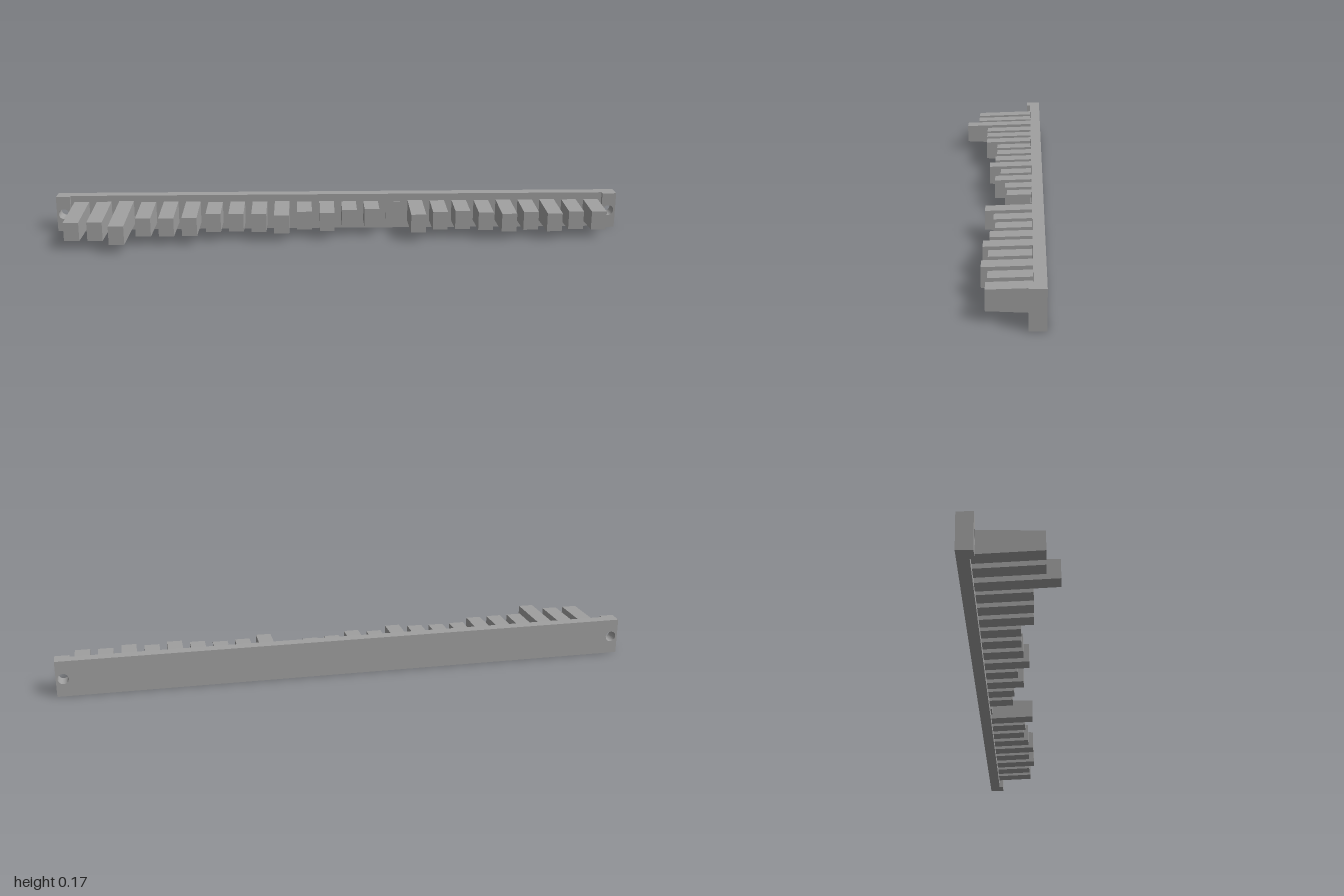
import * as THREE from 'three';

const LENGTH = 2.606, HEIGHT = 0.165, END_W = 0.064, END_D = 0.068, BAR_D = 0.05;
const TOOTH_W = 0.068, TOOTH_START = 0.081, PITCH = 0.1033;

// Reach of each tooth from the back of the bar, left to right
const REACH = [
  0.33, 0.33, 0.386, 0.278, 0.277, 0.275, 0.22, 0.218, 0.224, 0.248, 0.194, 0.218,
  0.171, 0.161, 0.056, 0.251, 0.212, 0.203, 0.223, 0.247, 0.223, 0.247, 0.22, 0.225,
];

// Box whose height narrows slightly towards the tip
function toothGeometry(reach) {
  const z0 = BAR_D - 0.01, depth = reach - z0;
  const geo = new THREE.BoxGeometry(TOOTH_W, 1, depth);
  geo.translate(0, 0, z0 + depth / 2);
  const p = geo.attributes.position;
  for (let i = 0; i < p.count; i++) {
    const half = 0.0425 + 0.037 * (reach - p.getZ(i));
    p.setY(i, Math.sign(p.getY(i)) * half);
  }
  geo.computeVertexNormals();
  return geo;
}

// End block with a round screw hole
function endGeometry() {
  const shape = new THREE.Shape();
  shape.moveTo(0, 0);
  shape.lineTo(END_W, 0);
  shape.lineTo(END_W, HEIGHT);
  shape.lineTo(0, HEIGHT);
  shape.closePath();
  const hole = new THREE.Path();
  hole.absarc(END_W / 2, HEIGHT / 2, 0.024, 0, Math.PI * 2, true);
  shape.holes.push(hole);
  return new THREE.ExtrudeGeometry(shape, { depth: END_D, bevelEnabled: false, curveSegments: 16 });
}

export function createModel() {
  const grey = new THREE.MeshStandardMaterial({ color: 0xa0a0a0 });
  grey.name = 'grey';
  const model = new THREE.Group();
  model.name = 'toothedBar';

  // Everything is laid out along a straight bar, then turned diagonally
  const strip = new THREE.Group();
  strip.name = 'strip';
  strip.position.set(-0.989, 0, 0.811);
  strip.rotation.y = Math.atan2(0.6938, 0.7203);
  model.add(strip);

  const add = (geo, name, x, y, z) => {
    const mesh = new THREE.Mesh(geo, grey);
    mesh.name = name;
    mesh.position.set(x, y, z);
    strip.add(mesh);
  };

  // Back bar and its two thicker ends
  add(new THREE.BoxGeometry(LENGTH - 2 * END_W, HEIGHT, BAR_D), 'backBar', LENGTH / 2, HEIGHT / 2, BAR_D / 2);
  const end = endGeometry();
  add(end, 'rightEndBlock', 0, 0, 0);
  add(end, 'leftEndBlock', LENGTH - END_W, 0, 0);

  // Row of teeth
  REACH.forEach((reach, i) => {
    add(toothGeometry(reach), `tooth${i + 1}`, TOOTH_START + TOOTH_W / 2 + i * PITCH, 0.083, 0);
  });

  return model;
}
